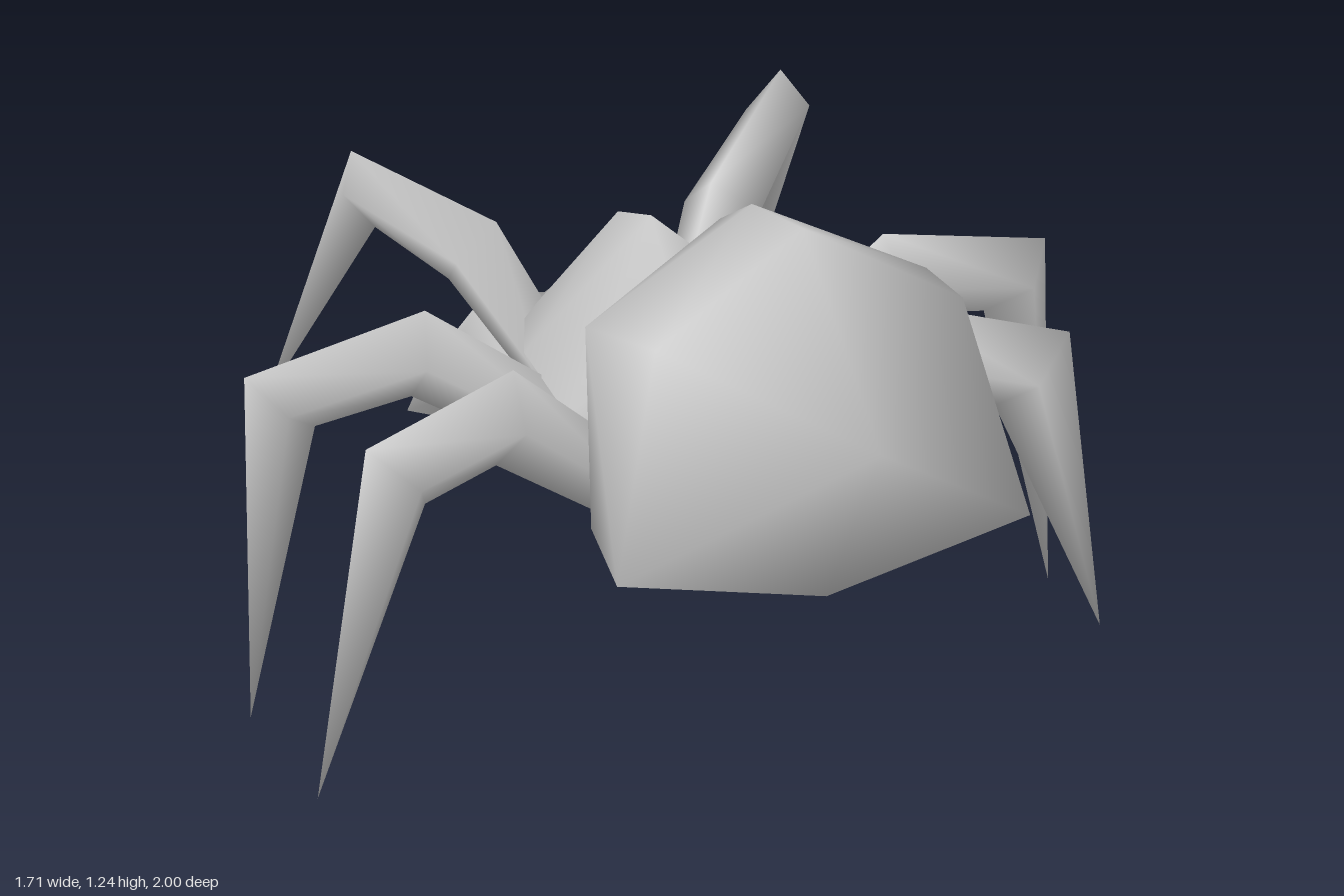
import * as THREE from 'three';

const material = new THREE.MeshStandardMaterial({ color: 0xcccccc });
const V = (a) => new THREE.Vector3(...a);

// Skin a list of equally sized rings and close both ends with a fan.
function loft(name, rings, start, end) {
  const n = rings[0].length, pos = [], idx = [];
  for (const ring of rings) for (const p of ring) pos.push(p.x, p.y, p.z);
  const first = rings.length * n, last = first + 1;
  pos.push(...start.toArray(), ...end.toArray());
  for (let j = 0; j < n; j++) {
    const k = (j + 1) % n, top = (rings.length - 1) * n;
    for (let i = 0; i < rings.length - 1; i++) {
      const a = i * n + j, b = i * n + k;
      idx.push(a, a + n, b, b, a + n, b + n);
    }
    idx.push(first, j, k, last, top + k, top + j);
  }
  const geo = new THREE.BufferGeometry();
  geo.setAttribute('position', new THREE.Float32BufferAttribute(pos, 3));
  geo.setIndex(idx);
  geo.computeVertexNormals();
  const mesh = new THREE.Mesh(geo, material);
  mesh.name = name;
  return mesh;
}

// Mirrored six-sided body section: z at its top and bottom, then half profile.
function section([zTop, zBottom, half]) {
  const yTop = half[0][1], yBottom = half[3][1];
  const at = ([x, y], s) => new THREE.Vector3(s * x + 0.012, y,
    THREE.MathUtils.lerp(zTop, zBottom, (yTop - y) / (yTop - yBottom)));
  return [...half.map((p) => at(p, 1)), at(half[2], -1), at(half[1], -1)];
}

// Pointed, jointed limb of diamond section with mitred joints.
function limb(name, points, radii) {
  const p = points.map(V), dirs = [];
  for (let i = 0; i < p.length - 1; i++) dirs.push(p[i + 1].clone().sub(p[i]).normalize());
  const s = new THREE.Vector3(0, 1, 0).cross(dirs[0]).normalize();
  const u = dirs[0].clone().cross(s);
  let offsets = [u, s, u.clone().negate(), s.clone().negate()];
  const rings = [];
  for (let i = 0; i < dirs.length; i++) {
    if (i > 0) {
      // slide the section along the previous segment onto the bisecting plane
      const d = dirs[i - 1], t = d.clone().add(dirs[i]).normalize();
      offsets = offsets.map((o) => o.clone().addScaledVector(d, -o.dot(t) / d.dot(t)));
    }
    rings.push(offsets.map((o) => p[i].clone().addScaledVector(o, radii[i])));
  }
  return loft(name, rings, p[0], p[p.length - 1]);
}

export function createModel() {
  const group = new THREE.Group();
  group.name = 'spider';

  // Body in one skin: head, thorax, waist, abdomen
  const body = [
    [-0.52, -0.53, [[0, 0.69], [0.1, 0.63], [0.08, 0.5], [0, 0.5]]],
    [-0.42, -0.42, [[0, 0.79], [0.15, 0.66], [0.1, 0.48], [0, 0.48]]],
    [-0.34, -0.34, [[0, 0.88], [0.195, 0.69], [0.13, 0.46], [0, 0.47]]],
    [-0.17, -0.17, [[0, 0.945], [0.265, 0.7], [0.16, 0.43], [0, 0.45]]],
    [-0.02, 0, [[0, 0.79], [0.24, 0.63], [0.1, 0.4], [0, 0.43]]],
    [0.06, 0.2, [[0, 0.79], [0.16, 0.67], [0.12, 0.53], [0, 0.51]]],
    [0.18, 0.27, [[0, 1.09], [0.22, 0.85], [0.21, 0.56], [0, 0.52]]],
    [0.34, 0.41, [[0, 1.19], [0.355, 1.0], [0.36, 0.59], [0, 0.52]]],
    [0.6, 0.72, [[0, 1.25], [0.32, 1.06], [0.43, 0.61], [0, 0.52]]],
  ].map(section);
  group.add(loft('body', body, V([0.012, 0.6, -0.5]), V([0.012, 0.94, 1])));

  // Legs: hip, first knee, second knee, tip
  const legs = {
    leftRearLeg: [[0.12, 0.48, 0.06], [0.43, 0.7, 0.08], [0.69, 0.62, 0.11], [0.79, 0.1, 0.21]],
    rightRearLeg: [[-0.12, 0.48, 0.06], [-0.4, 0.7, 0.09], [-0.64, 0.63, 0.12], [-0.855, 0.04, 0.25]],
    leftMiddleLeg: [[0.13, 0.52, -0.09], [0.5, 0.74, -0.155], [0.78, 0.67, -0.2], [0.85, 0.01, -0.2]],
    rightMiddleLeg: [[-0.13, 0.52, -0.09], [-0.48, 0.745, -0.155], [-0.75, 0.67, -0.2], [-0.81, 0.01, -0.2]],
    leftFrontLeg: [[0.13, 0.56, -0.32], [0.27, 0.8, -0.44], [0.48, 0.875, -0.67], [0.565, 0.37, -0.995]],
    rightFrontLeg: [[-0.12, 0.56, -0.32], [-0.25, 0.8, -0.44], [-0.4, 0.875, -0.63], [-0.49, 0.33, -0.9]],
  };
  const radii = { Front: [0.06, 0.08, 0.06], Middle: [0.065, 0.083, 0.075], Rear: [0.065, 0.088, 0.088] };
  for (const [name, path] of Object.entries(legs)) {
    group.add(limb(name, path, radii[name.match(/Front|Middle|Rear/)[0]]));
  }

  // Feelers and jaws, mirrored left and right
  for (const [side, s] of [['left', 1], ['right', -1]]) {
    const mirror = (path) => path.map(([x, y, z]) => [s * x + 0.018, y, z]);
    group.add(limb(side + 'Feeler', mirror([[0.13, 0.55, -0.37], [0.18, 0.51, -0.6],
      [0.215, 0.36, -0.73], [0.1, 0.31, -0.78], [0.012, 0.33, -0.78]]), [0.08, 0.07, 0.06, 0.045]));
    group.add(limb(side + 'Jaw', mirror([[0.075, 0.63, -0.51], [0.09, 0.5, -0.5],
      [0.085, 0.37, -0.495], [0.005, 0.235, -0.54]]), [0.065, 0.075, 0.07]));
  }
  return group;
}
